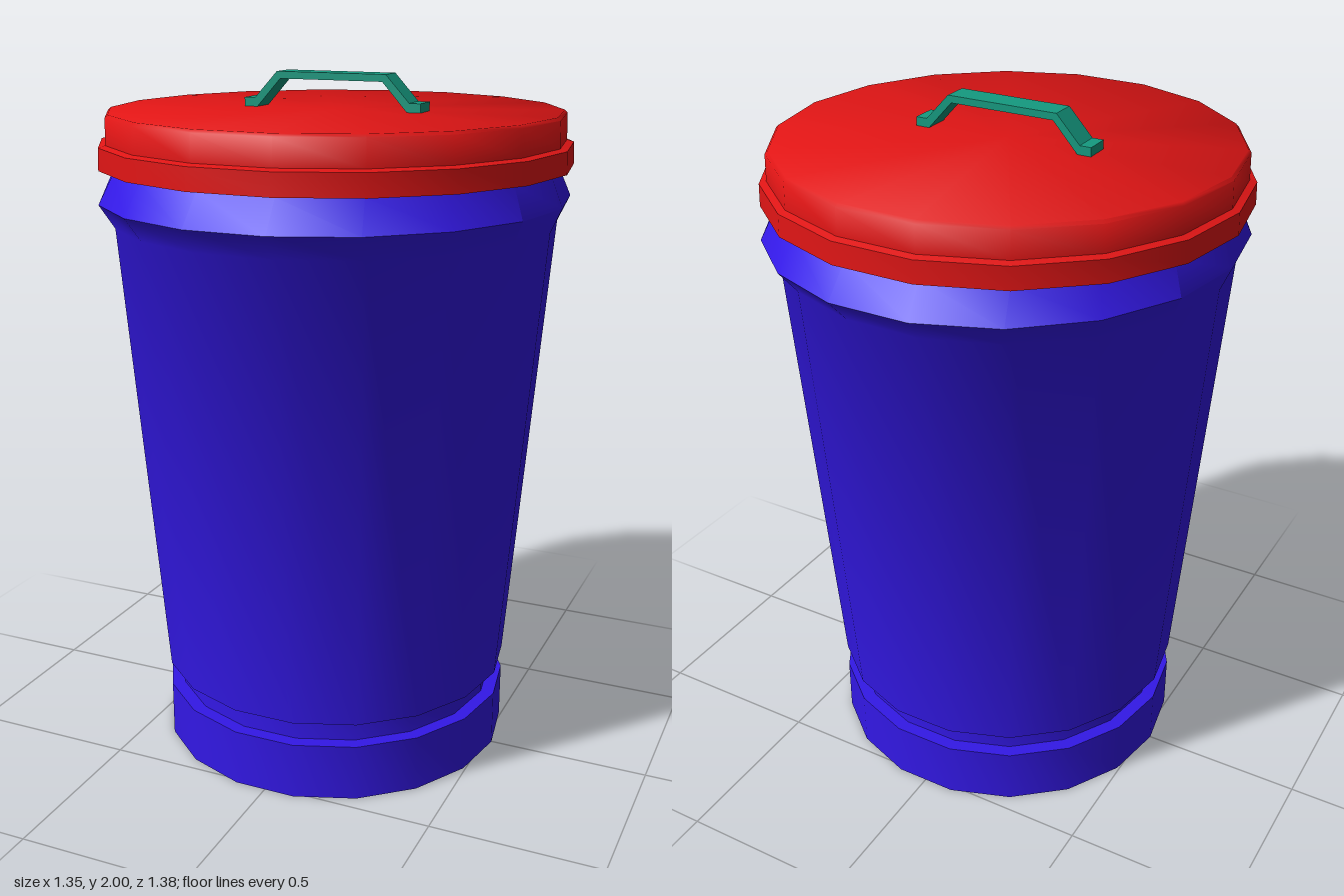
import * as THREE from 'three';
import { toCreasedNormals } from 'three/addons/utils/BufferGeometryUtils.js';

const SIDES = 18;
const RIM_Y = 1.66;

const material = (color) => new THREE.MeshStandardMaterial({ color, side: THREE.DoubleSide });

// Revolve [radius, y] pairs, starting with a corner on the x axis
function revolve(profile) {
  const points = profile.map(([r, y]) => new THREE.Vector2(r, y));
  return new THREE.LatheGeometry(points, SIDES, Math.PI / 2);
}

function addPart(group, name, geometry, mat) {
  const mesh = new THREE.Mesh(toCreasedNormals(geometry, 0.85), mat);
  mesh.name = name;
  group.add(mesh);
}

export function createModel() {
  const group = new THREE.Group();
  group.name = 'dustbin';

  // Open tapered shell: foot ring, recessed neck, wall and flared rim
  const bin = revolve([
    [0.525, 0], [0.525, 0.167], [0.485, 0.167], [0.485, 0.238], [0.525, 0.238],
    [0.635, 1.59], [0.666, RIM_Y], [0.632, 1.745],
  ]);
  // The rim bulges a little more to the front and back
  const pos = bin.attributes.position;
  for (let i = 0; i < pos.count; i++) {
    if (Math.abs(pos.getY(i) - RIM_Y) < 0.001) pos.setZ(i, pos.getZ(i) * 1.052);
  }
  addPart(group, 'bin', bin, material(0x3318e6));

  // Lid with a stepped skirt, hollow underneath
  addPart(group, 'lid', revolve([
    [0.615, 1.75], [0.674, 1.75], [0.672, 1.812], [0.652, 1.818],
    [0.65, 1.892], [0.642, 1.9], [0, 1.9],
  ]), material(0xe01515));

  // Bent strap handle with flat feet
  const half = [[0.165, 2], [0.235, 1.925], [0.268, 1.925], [0.268, 1.9], [0.228, 1.9], [0.155, 1.98]];
  const outline = [...half, ...half.map(([x, y]) => [-x, y]).reverse()];
  const strap = new THREE.ExtrudeGeometry(
    new THREE.Shape(outline.map(([x, y]) => new THREE.Vector2(x, y))),
    { depth: 0.074, bevelEnabled: false },
  );
  strap.translate(0, 0, -0.037);
  const handle = new THREE.Mesh(strap, material(0x159a80));
  handle.name = 'handle';
  group.add(handle);

  return group;
}
